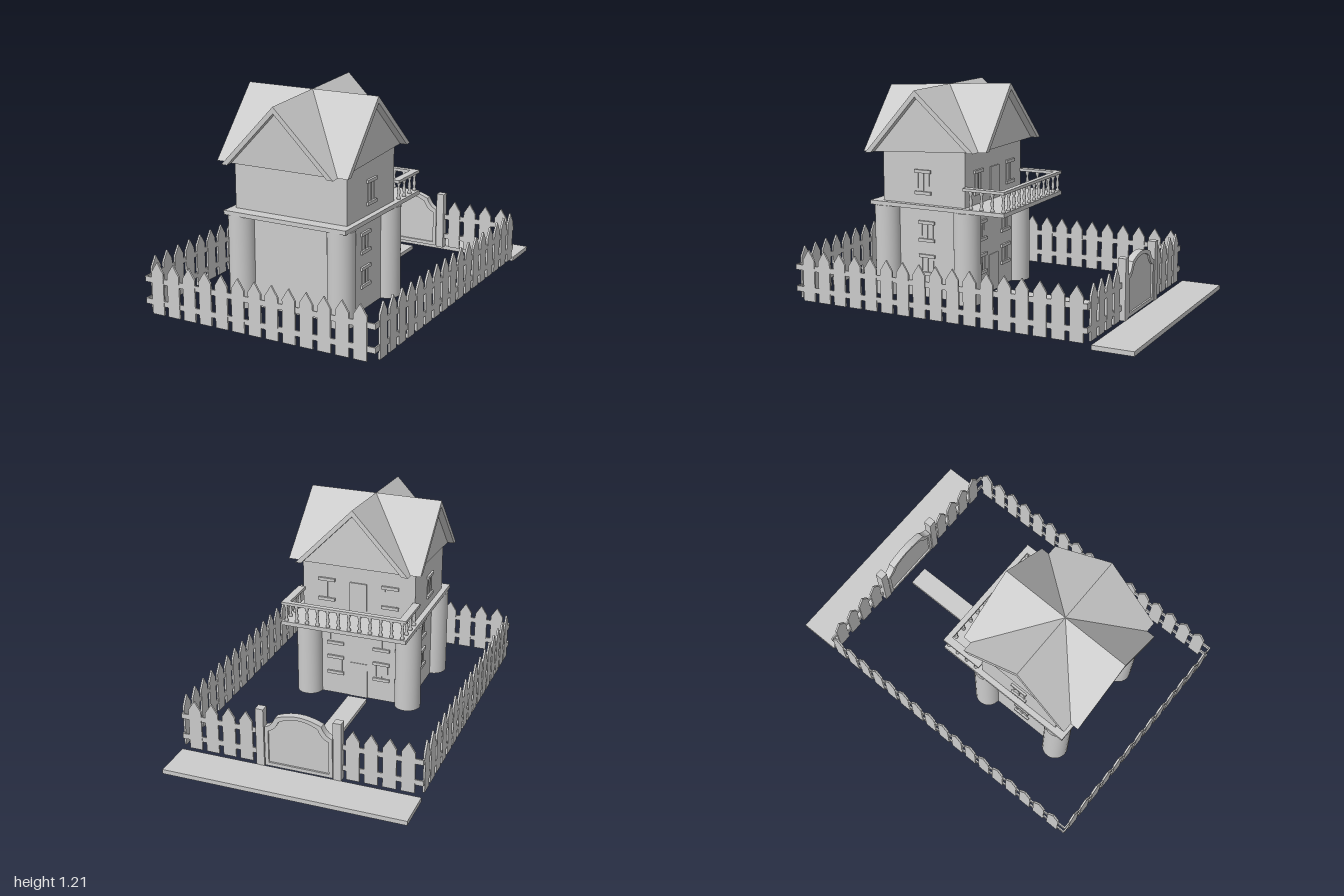
import * as THREE from 'three';

const material = new THREE.MeshStandardMaterial({ color: 0xcccccc, side: THREE.DoubleSide });

function add(parent, name, geometry, x = 0, y = 0, z = 0) {
  const mesh = new THREE.Mesh(geometry, material);
  mesh.name = name;
  mesh.position.set(x, y, z);
  parent.add(mesh);
  return mesh;
}

// Box given by its minimum and maximum corners
function block(parent, name, [x0, y0, z0], [x1, y1, z1]) {
  return add(parent, name, new THREE.BoxGeometry(x1 - x0, y1 - y0, z1 - z0),
    (x0 + x1) / 2, (y0 + y1) / 2, (z0 + z1) / 2);
}

function group(parent, name, x = 0, y = 0, z = 0) {
  const g = new THREE.Group();
  g.name = name;
  g.position.set(x, y, z);
  parent.add(g);
  return g;
}

function polygon(points) {
  return new THREE.Shape(points.map(([x, y]) => new THREE.Vector2(x, y)));
}

// Extrusion centred on z
function plate(shape, depth) {
  return new THREE.ExtrudeGeometry(shape, { depth, bevelEnabled: false, curveSegments: 10 })
    .translate(0, 0, -depth / 2);
}

const picketGeometry = plate(polygon([
  [-0.037, 0.03], [0.037, 0.03], [0.037, 0.262], [0, 0.32], [-0.037, 0.262]]), 0.011);

// Straight run of fence along local x, with two rails
function fence(parent, start, end, pickets) {
  for (const p of pickets) add(parent, 'picket', picketGeometry, p, 0, 0);
  for (const y of [0.08, 0.202]) block(parent, 'fenceRail', [start, y, -0.004], [end, y + 0.03, 0.004]);
}

// Slim window facing local +z
function windowTrim(parent, x, y, z, turn = 0, height = 0.13) {
  const w = group(parent, 'window', x, y, z);
  w.rotation.y = turn;
  for (const s of [-1, 1]) {
    block(w, 'windowBar', [-0.05, s * height / 2 - 0.009, -0.005], [0.05, s * height / 2 + 0.009, 0.012]);
    block(w, 'windowJamb', [s * 0.035 - 0.004, -height / 2, -0.005], [s * 0.035 + 0.004, height / 2, 0.003]);
  }
  block(w, 'windowMullion', [-0.004, -height / 2, -0.005], [0.004, height / 2, 0.004]);
}

// Gable roof along z: chevron shell with a recessed solid infill
function gableRoof(parent, name, halfWidth, height, length) {
  const g = group(parent, name);
  const t = 0.036;
  const inner = halfWidth * (1 - t / height);
  add(g, 'roofSlopes', plate(polygon([
    [-halfWidth, 0], [-inner, 0], [0, height - t], [inner, 0], [halfWidth, 0], [0, height]]), length));
  add(g, 'gableWall', plate(polygon([[-inner, 0], [inner, 0], [0, height - t]]), length - 0.08));
  return g;
}

function buildFence(root) {
  const f = group(root, 'fence');
  const frontRow = Array.from({ length: 13 }, (_, i) => (i - 6) * 0.1);
  const sideRow = Array.from({ length: 17 }, (_, i) => 0.905 - i * 0.1);
  fence(group(f, 'frontFence', 0, 0, 0.988), -0.68, 0.68, frontRow);
  for (const s of [-1, 1]) {
    const side = group(f, 'sideFence', s * 0.678, 0, 0);
    side.rotation.y = -Math.PI / 2;
    fence(side, -0.75, 0.99, sideRow);
    const back = group(f, 'backFence', 0, 0, -0.75);
    fence(back, Math.min(s * 0.22, s * 0.68), Math.max(s * 0.22, s * 0.68),
      [0.3, 0.4, 0.5, 0.6].map(v => v * s));
  }
}

function gateOutline(inset) {
  const w = 0.19 - inset, shoulder = 0.26 - inset, top = 0.352 - inset;
  const s = new THREE.Shape();
  s.moveTo(-w, 0.03 + inset);
  s.lineTo(w, 0.03 + inset);
  s.lineTo(w, shoulder);
  s.quadraticCurveTo(w - 0.04, shoulder + 0.01, w - 0.06, top - 0.03);
  s.quadraticCurveTo(0, top + 0.03, -w + 0.06, top - 0.03);
  s.quadraticCurveTo(-w + 0.04, shoulder + 0.01, -w, shoulder);
  s.closePath();
  return s;
}

function buildGate(root) {
  const g = group(root, 'gate', -0.005, 0, -0.752);
  const frame = gateOutline(0);
  frame.holes.push(gateOutline(0.02));
  add(g, 'gateFrame', plate(frame, 0.04));
  add(g, 'gatePanel', plate(gateOutline(0.015), 0.02));
  for (const s of [-1, 1])
    add(g, 'gatePost', new THREE.BoxGeometry(0.045, 0.335, 0.045), s * 0.217, 0.193, 0);
}

function buildBalcony(house) {
  const b = group(house, 'balcony');
  const profile = [[0, 0], [0.011, 0], [0.011, 0.012], [0.006, 0.02], [0.01, 0.04],
    [0.006, 0.075], [0.011, 0.09], [0.011, 0.105], [0, 0.105]].map(p => new THREE.Vector2(...p));
  const baluster = new THREE.LatheGeometry(profile, 10);
  block(b, 'backHandrail', [-0.365, 0.66, -0.13], [0.365, 0.676, -0.1]);
  for (let i = 0; i < 12; i++) add(b, 'baluster', baluster, -0.341 + i * 0.062, 0.558, -0.115);
  for (const s of [-1, 1]) {
    add(b, 'sideHandrail', new THREE.BoxGeometry(0.042, 0.016, 0.22), s * 0.344, 0.668, 0.01);
    for (const z of [0.08, 0.015, -0.05]) add(b, 'baluster', baluster, s * 0.344, 0.558, z);
  }
}

function buildHouse(root) {
  const house = group(root, 'house', -0.005, 0, 0);
  block(house, 'lowerWalls', [-0.3, 0.024, 0.125], [0.3, 0.54, 0.63]);
  block(house, 'floorSlab', [-0.366, 0.537, -0.13], [0.366, 0.56, 0.705]);
  block(house, 'upperWalls', [-0.335, 0.558, 0.12], [0.335, 0.88, 0.635]);

  // Corner columns
  const column = new THREE.CylinderGeometry(0.075, 0.075, 0.512, 32);
  for (const x of [-0.3, 0.3])
    for (const z of [0.127, 0.63]) add(house, 'column', column, x, 0.281, z);

  // Side windows, two storeys below and one above
  for (const s of [-1, 1]) {
    for (const y of [0.21, 0.4]) windowTrim(house, s * 0.3, y, 0.38, s * Math.PI / 2, 0.1);
    windowTrim(house, s * 0.335, 0.683, 0.38, s * Math.PI / 2, 0.12);
    // Back windows
    windowTrim(house, s * 0.19, 0.683, 0.12, Math.PI, 0.12);
    for (const y of [0.21, 0.4]) windowTrim(house, s * 0.14, y, 0.125, Math.PI, 0.1);
  }
  block(house, 'balconyDoor', [-0.05, 0.56, 0.112], [0.05, 0.745, 0.125]);
  block(house, 'entranceDoor', [-0.055, 0.024, 0.121], [0.055, 0.24, 0.13]);

  buildBalcony(house);

  // Crossed gables, tipped slightly toward the front about the ridge crossing
  const roof = group(house, 'roof', 0, 1.19, 0.4);
  roof.rotation.x = 0.058;
  gableRoof(roof, 'frontGable', 0.33, 0.341, 0.775).position.y = -0.341;
  const cross = gableRoof(roof, 'sideGable', 0.34, 0.34, 0.775);
  cross.position.y = -0.34;
  cross.rotation.y = Math.PI / 2;
}

export function createModel() {
  const root = new THREE.Group();
  root.name = 'fencedHouse';

  // Paving tiles
  for (let i = 0; i < 4; i++) {
    const x = -0.68 + i * 0.339;
    block(root, 'sidewalkTile', [x, 0, -1], [x + 0.339, 0.025, -0.772]);
    const z = -0.685 + i * 0.2;
    block(root, 'pathTile', [-0.06, 0, z], [0.057, 0.022, z + 0.2]);
  }

  buildFence(root);
  buildGate(root);
  buildHouse(root);
  return root;
}
